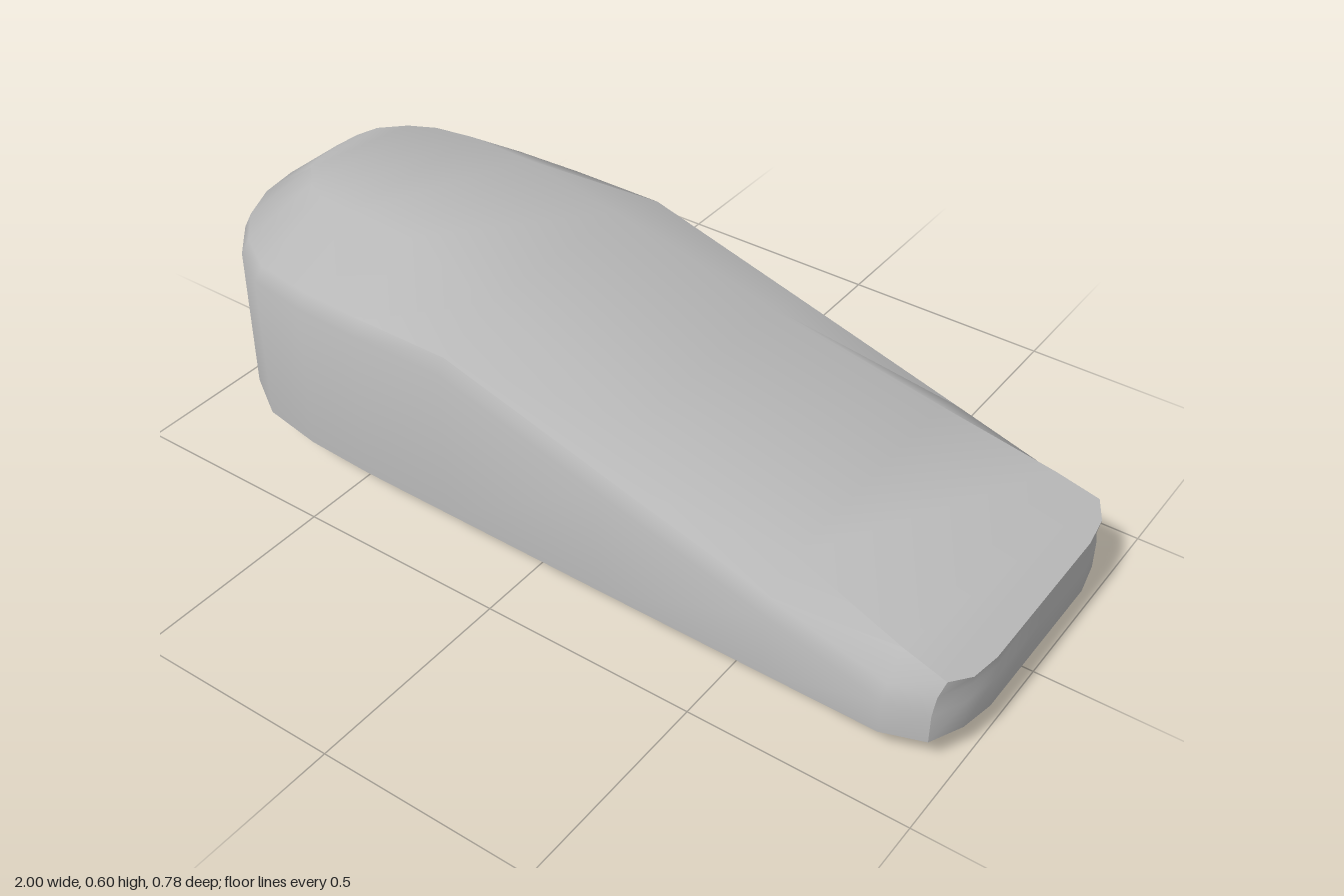
import * as THREE from 'three';
import { toCreasedNormals } from 'three/addons/utils/BufferGeometryUtils.js';

// Half outlines in plan [x, z], from the round heel tip to the middle of the toe
const SIDE = [[-1, 0], [-0.985, 0.1], [-0.94, 0.2], [-0.86, 0.29], [-0.75, 0.36], [-0.6, 0.385],
  [-0.43, 0.392], [-0.2, 0.392], [0.2, 0.392], [0.6, 0.39], [0.86, 0.388], [0.95, 0.355],
  [0.985, 0.28], [1, 0.2], [1, 0]];
const TOP = [[-0.82, 0], [-0.815, 0.06], [-0.8, 0.11], [-0.75, 0.16], [-0.69, 0.19], [-0.6, 0.205],
  [-0.43, 0.2], [-0.2, 0.22], [0.2, 0.25], [0.6, 0.29], [0.86, 0.32], [0.96, 0.325],
  [0.99, 0.275], [1, 0.2], [1, 0]];

// Heights along the length
const { lerp, clamp } = THREE.MathUtils;
const topY = (x) => lerp(0.6, 0.2, clamp((x + 0.43) / 1.43, 0, 1));
const rimY = (x) => (x < -0.2
  ? lerp(0.47, 0.488, clamp((x + 1) / 0.3, 0, 1))
  : lerp(0.488, 0.175, clamp((x + 0.2) / 1.1, 0, 1)));
const baseY = (x) => 0.024 * Math.max(0, x);

// Closed ring from a half outline: mirror it in z
function ring(half, place) {
  const right = half.map(([x, z]) => new THREE.Vector3(...place(x, z)));
  const left = right.slice(1, -1).reverse().map((p) => new THREE.Vector3(p.x, p.y, -p.z));
  return right.concat(left);
}

function bodyGeometry() {
  const rings = [
    // underside, inset more at the heel than at the toe
    ring(SIDE, (x, z) => [lerp(-0.85, 0.96, (x + 1) / 2), baseY(x), z * 0.63]),
    // lower bevel
    ring(SIDE, (x, z) => [lerp(-0.965, 0.985, (x + 1) / 2), 0.045 - 0.005 * x, z * 0.9]),
    // upright wall
    ring(SIDE, (x, z) => [x, lerp(0.095, 0.07, (x + 1) / 2), z]),
    ring(SIDE, (x, z) => [x, rimY(x) - 0.035, z]),
    // rim
    ring(SIDE, (x, z) => [x < 0 ? x * 0.985 : x, rimY(x), z * 0.955]),
    // upper surface edge
    ring(TOP, (x, z) => [x, topY(x), z]),
  ];
  const n = SIDE.length;
  const count = rings[0].length;
  const pos = [];
  const tri = (a, b, c) => {
    const area = b.clone().sub(a).cross(c.clone().sub(a)).length();
    if (area > 1e-7) for (const p of [a, b, c]) pos.push(p.x, p.y, p.z);
  };
  const quad = (a, b, c, d) => { tri(a, b, c); tri(a, c, d); };

  // walls between neighbouring rings
  for (let r = 0; r < rings.length - 1; r++) {
    for (let i = 0; i < count; i++) {
      const j = (i + 1) % count;
      quad(rings[r][i], rings[r][j], rings[r + 1][j], rings[r + 1][i]);
    }
  }
  // caps made of strips across the width
  const top = rings[rings.length - 1];
  const low = rings[0];
  for (let i = 0; i < n - 1; i++) {
    const m = (count - i) % count;
    const k = count - i - 1;
    quad(top[i], top[i + 1], top[k], top[m]);
    quad(low[m], low[k], low[i + 1], low[i]);
  }
  const geo = new THREE.BufferGeometry();
  geo.setAttribute('position', new THREE.Float32BufferAttribute(pos, 3));
  return toCreasedNormals(geo, 0.7);
}

export function createModel() {
  const group = new THREE.Group();
  group.name = 'wedge';
  const grey = new THREE.MeshStandardMaterial({ color: 0xb8b8b8 });
  grey.name = 'light grey';

  // rounded wedge body
  const body = new THREE.Mesh(bodyGeometry(), grey);
  body.name = 'wedgeBody';
  group.add(body);
  return group;
}
